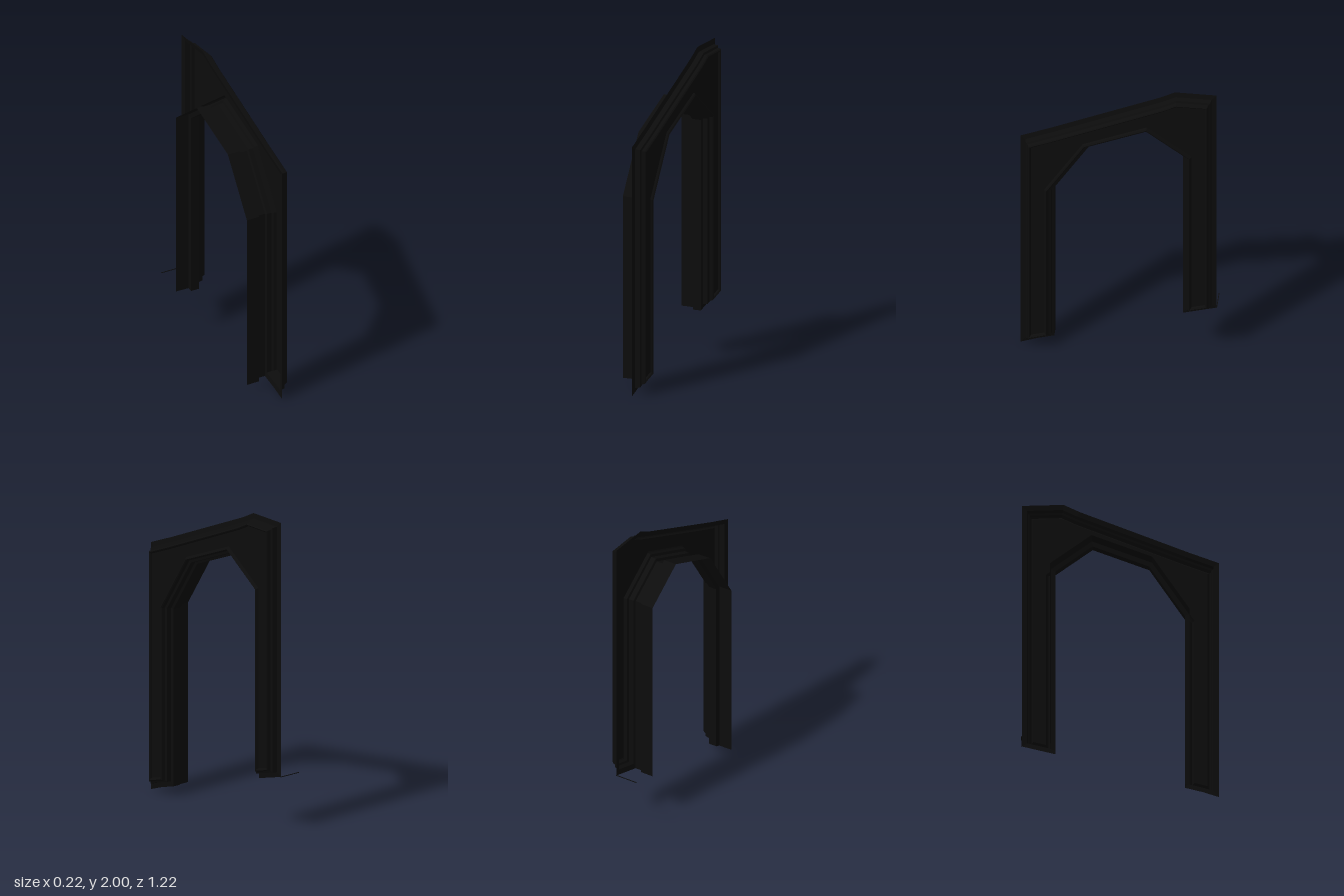
import * as THREE from 'three';

const black = new THREE.MeshStandardMaterial({ color: 0x0c0c0c, side: THREE.DoubleSide });
black.name = 'charred black';

// Arch outline as (u, y), u = -z, counter-clockwise seen from +x
const outline = [
  [-0.61, 0], [-0.51, 0.035],
  [-0.4, 0.065], [-0.4, 1.21], [-0.18, 1.55], [0.17, 1.69], [0.4, 1.52], [0.4, 0.3],
  [0.608, 0.355], [0.608, 1.995], [0.35, 2.0], [0.25, 1.95], [-0.42, 1.67], [-0.61, 1.595],
];
const OPEN_FIRST = 2, OPEN_LAST = 7; // corners that border the doorway

// Move every edge inwards: outer edges by dOut, doorway edges by dIn
function inset(dOut, dIn) {
  const n = outline.length;
  const edge = (i) => {
    const a = outline[i], b = outline[(i + 1) % n];
    const len = Math.hypot(b[0] - a[0], b[1] - a[1]);
    const d = i >= OPEN_FIRST && i < OPEN_LAST ? dIn : dOut;
    return { nx: -(b[1] - a[1]) / len, ny: (b[0] - a[0]) / len, d };
  };
  return outline.map(([u, y], i) => {
    const e = edge((i + n - 1) % n), f = edge(i);
    const det = e.nx * f.ny - e.ny * f.nx;
    return [u + (e.d * f.ny - f.d * e.ny) / det, y + (e.nx * f.d - f.nx * e.d) / det];
  });
}

// Mesh with flat faces from a list of 3D corners
function flatMesh(name, corners) {
  const geo = new THREE.BufferGeometry().setFromPoints(corners);
  geo.computeVertexNormals();
  const mesh = new THREE.Mesh(geo, black);
  mesh.name = name;
  return mesh;
}

const toSpace = (ring, x) => ring.map(([u, y]) => new THREE.Vector3(x, y, -u));

// Strip of quads between successive rows of points
function loft(rows, closed) {
  const out = [];
  for (let r = 0; r + 1 < rows.length; r++) {
    const a = rows[r], b = rows[r + 1], n = a.length;
    for (let i = 0; i < (closed ? n : n - 1); i++) {
      const j = (i + 1) % n;
      out.push(a[i], a[j], b[j], a[i], b[j], b[i]);
    }
  }
  return out;
}

export function createModel() {
  const group = new THREE.Group();
  group.name = 'doorFrame';

  // Stepped moulding: x, inset from outer edge, inset from doorway
  const steps = [
    [0.037, 0, 0], [0.043, 0.032, 0.015], [0.075, 0.036, 0.018], [0.08, 0.048, 0.033],
    [0.1, 0.052, 0.037], [0.106, 0.058, 0.044], [0.1, 0.066, 0.052], [0.09, 0.07, 0.058],
  ];
  const rings = steps.map(([x, o, i]) => toSpace(inset(o, i), x));
  group.add(flatMesh('moulding', loft(rings, true)));

  // Sunken panel filling the moulding
  const [px, po, pi] = steps[steps.length - 1];
  const flat = inset(po, pi).map(([u, y]) => new THREE.Vector2(u, y));
  const panel = toSpace(flat.map((p) => [p.x, p.y]), px);
  const faces = THREE.ShapeUtils.triangulateShape(flat, []);
  group.add(flatMesh('facePanel', faces.flat().map((i) => panel[i])));

  // Doorway lining with a rebate at the back
  const lining = [[-0.11, 0.03], [-0.022, 0.028], [-0.018, 0], [0.037, 0]];
  const rows = lining.map(([x, d]) => toSpace(inset(0, d).slice(OPEN_FIRST, OPEN_LAST + 1), x));
  group.add(flatMesh('doorwayLining', loft(rows, false)));

  // Thin splinter at the foot of the short leg
  const splinter = new THREE.Mesh(new THREE.BoxGeometry(0.15, 0.004, 0.004), black);
  splinter.position.set(-0.035, 0.355, -0.608);
  splinter.name = 'splinter';
  group.add(splinter);

  return group;
}
